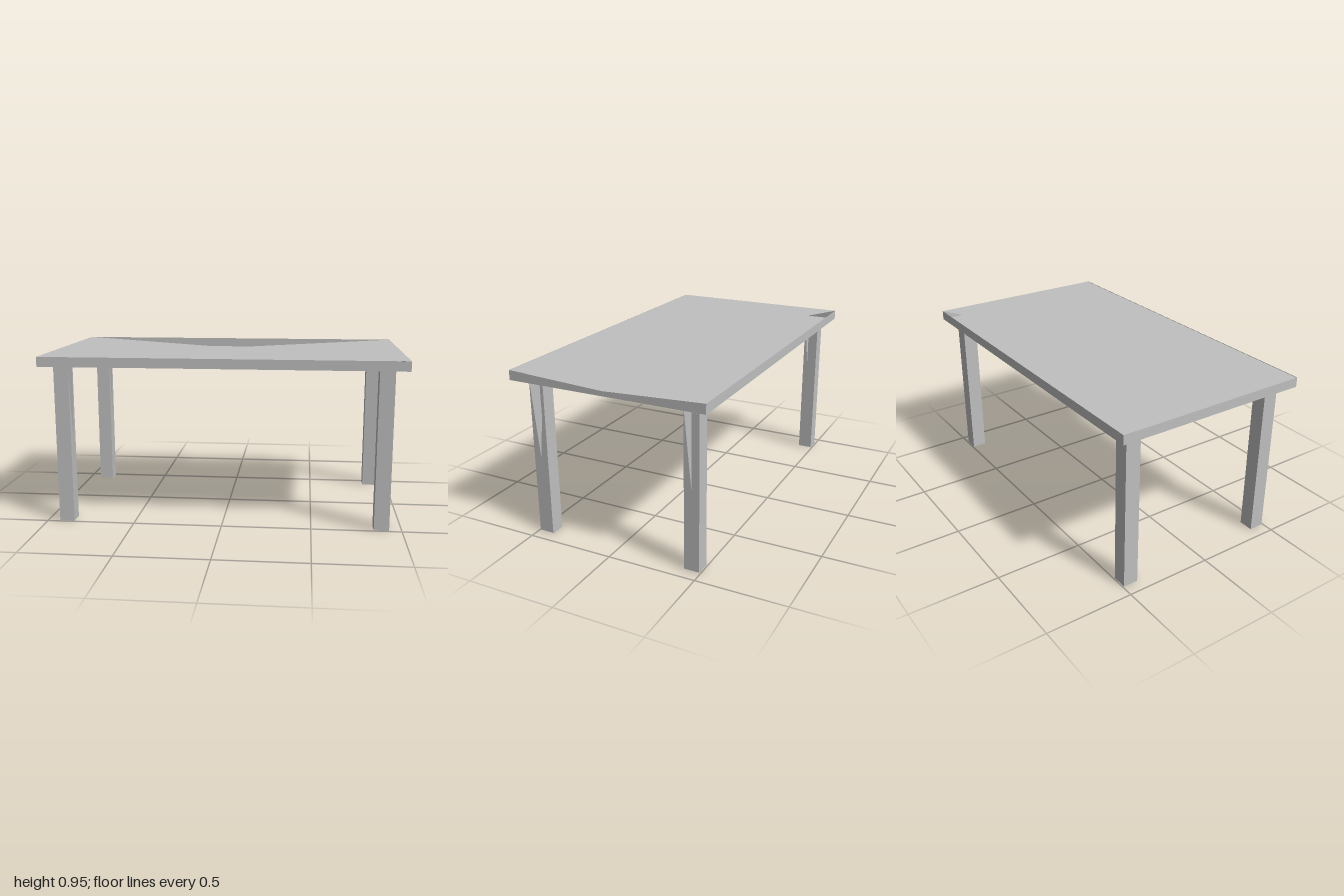
import * as THREE from 'three';
import { mergeGeometries } from 'three/addons/utils/BufferGeometryUtils.js';

// Unit box whose top and +x sides have a V notch and a hairline slit opposite it
function notchedBox() {
  const slit = 0.004;
  const notched = () => new THREE.ShapeGeometry(new THREE.Shape([
    [-0.5, -0.5 + slit], [0.5, -0.5 + slit], [0.5, 0.5], [0, 0], [-0.5, 0.5],
  ].map(([u, v]) => new THREE.Vector2(u, v))));
  const plain = () => new THREE.PlaneGeometry(1, 1);
  const q = Math.PI / 2;
  return mergeGeometries([
    notched().translate(0, 0, 0.5).rotateX(-q), // top, notch at the back
    notched().translate(0, 0, 0.5).rotateY(q), // +x side, notch at the top
    plain().translate(0, 0, 0.5).rotateX(q), // bottom
    plain().translate(0, 0, 0.5).rotateY(-q), // -x side
    plain().translate(0, 0, 0.5), // front
    plain().translate(0, 0, 0.5).rotateY(2 * q), // back
  ]);
}

export function createModel() {
  const group = new THREE.Group();
  group.name = 'table';
  const grey = new THREE.MeshStandardMaterial({ color: 0xc0c0c0, side: THREE.DoubleSide });
  grey.name = 'grey';

  const addBox = (name, size, position) => {
    const mesh = new THREE.Mesh(notchedBox().scale(...size), grey);
    mesh.name = name;
    mesh.position.set(...position);
    group.add(mesh);
  };

  // Table top
  addBox('tableTop', [2, 0.054, 1.12], [0, 0.923, 0]);

  // Four square legs
  for (const [side, x] of [['Left', 0.888], ['Right', -0.888]]) {
    for (const [end, z] of [['front', 0.45], ['back', -0.45]]) {
      addBox(`${end}${side}Leg`, [0.084, 0.895, 0.085], [x, 0.4475, z]);
    }
  }
  return group;
}
